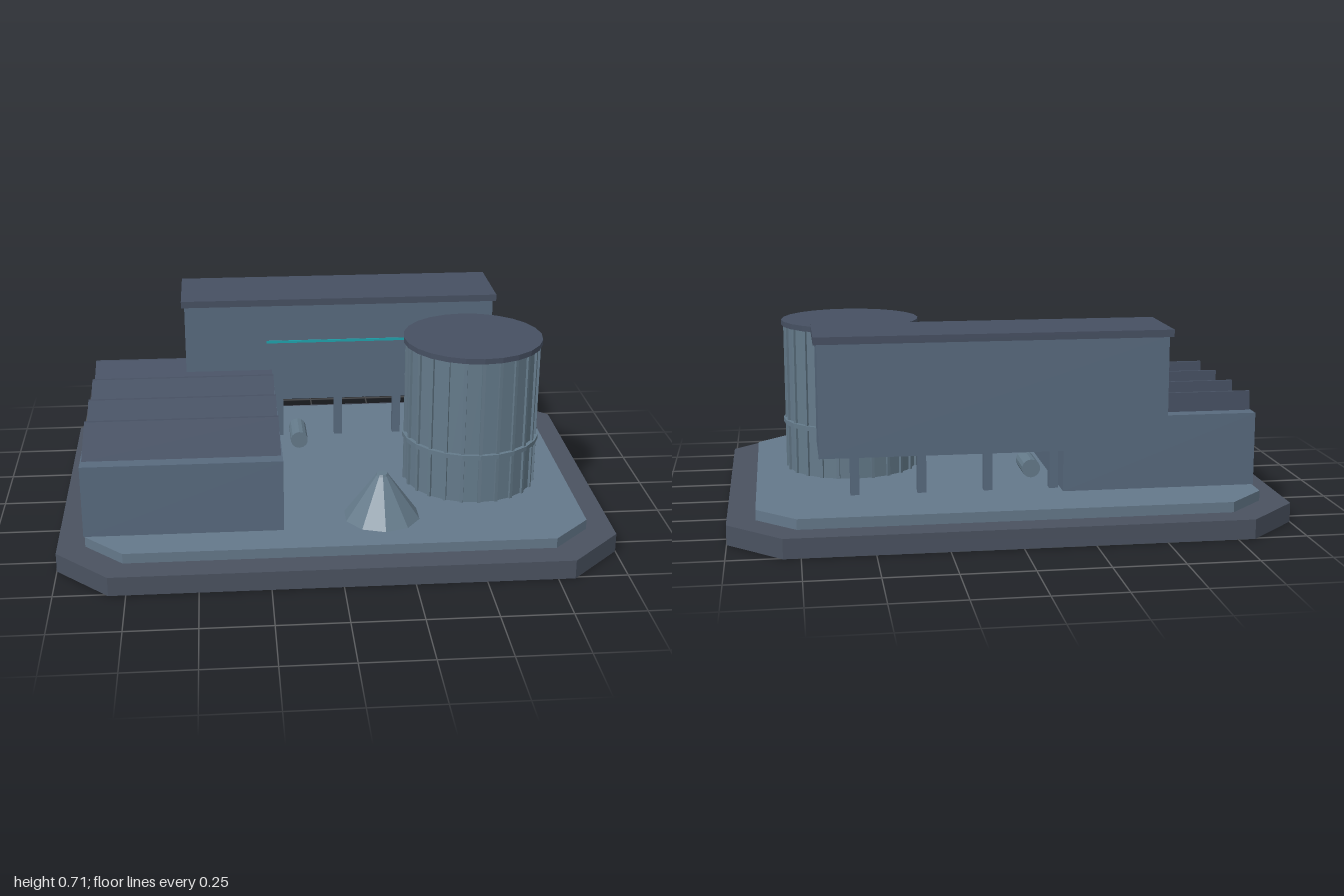
import * as THREE from 'three';

const mat = (color) => new THREE.MeshStandardMaterial({ color, flatShading: true });
const DARK = mat(0x4a5260), PAVING = mat(0x64788a), WALL = mat(0x586a7e);
const ROOF = mat(0x465062), STEEL = mat(0x647a8a), GLOW = mat(0x1fa3ad);

function add(parent, name, geometry, material, x = 0, y = 0, z = 0) {
  const mesh = new THREE.Mesh(geometry, material);
  mesh.name = name;
  mesh.position.set(x, y, z);
  parent.add(mesh);
  return mesh;
}

// Box given by its lower and upper limits on each axis
function box(parent, name, material, [x0, x1], [y0, y1], [z0, z1]) {
  return add(parent, name, new THREE.BoxGeometry(x1 - x0, y1 - y0, z1 - z0), material,
    (x0 + x1) / 2, (y0 + y1) / 2, (z0 + z1) / 2);
}

// Rectangular plate with cut corners, lying flat
function plate(parent, name, material, w, d, cut, y0, y1) {
  const pts = [[w - cut, -d], [w, cut - d], [w, d - cut], [w - cut, d],
    [cut - w, d], [-w, d - cut], [-w, cut - d], [cut - w, -d]];
  const shape = new THREE.Shape(pts.map(([x, y]) => new THREE.Vector2(x, y)));
  const geo = new THREE.ExtrudeGeometry(shape, { depth: y1 - y0, bevelEnabled: false });
  add(parent, name, geo.rotateX(-Math.PI / 2), material, 0, y0, 0);
}

function group(parent, name) {
  const g = new THREE.Group();
  g.name = name;
  parent.add(g);
  return g;
}

export function createModel() {
  const model = new THREE.Group();
  model.name = 'factory';
  const floor = 0.107;

  // Ground: dark foundation and raised yard
  plate(model, 'foundation', DARK, 1, 0.76, 0.19, 0, 0.07);
  plate(model, 'yard', PAVING, 0.9, 0.66, 0.138, 0.07, floor);

  // Workshop hall with sawtooth roof
  const hall = group(model, 'workshopHall');
  box(hall, 'hallWalls', WALL, [-0.905, -0.195], [floor, 0.375], [-0.43, 0.52]);
  const tooth = new THREE.Shape([[0, 0], [0.205, 0], [0.202, 0.07], [0.19, 0.07]]
    .map(([x, y]) => new THREE.Vector2(x, y)));
  const toothGeo = new THREE.ExtrudeGeometry(tooth, { depth: 0.7, bevelEnabled: false })
    .rotateY(Math.PI / 2);
  for (let i = 0; i < 4; i++) {
    add(hall, 'sawtoothRoof', toothGeo, ROOF, -0.9, 0.375, 0.47 - i * 0.213);
  }

  // Raised long block on a row of columns
  const block = group(model, 'raisedBlock');
  box(block, 'blockWalls', WALL, [-0.54, 0.68], [0.29, 0.686], [-0.57, -0.284]);
  box(block, 'blockRoof', ROOF, [-0.552, 0.692], [0.686, 0.712], [-0.587, -0.275]);
  box(block, 'lightStrip', GLOW, [-0.22, 0.36], [0.53, 0.54], [-0.29, -0.28]);
  for (const x of [-0.17, 0.07, 0.31, 0.55]) {
    box(block, 'column', WALL, [x - 0.016, x + 0.016], [floor, 0.3], [-0.378, -0.343]);
  }

  // Short pipe under the block
  add(model, 'pipe', new THREE.CylinderGeometry(0.034, 0.034, 0.144, 14).rotateX(Math.PI / 2),
    STEEL, -0.1, 0.163, -0.229);

  // Storage tank with hoops and vertical ribs
  const tank = group(model, 'storageTank');
  tank.position.set(0.535, 0, 0.104);
  const drum = (name, r, y0, y1, m) =>
    add(tank, name, new THREE.CylinderGeometry(r, r, y1 - y0, 24), m, 0, (y0 + y1) / 2, 0);
  drum('tankShell', 0.244, floor, 0.66, STEEL);
  drum('middleHoop', 0.259, 0.283, 0.3, STEEL);
  drum('tankLid', 0.259, 0.657, 0.677, ROOF);
  const ribGeo = new THREE.BoxGeometry(0.012, 0.66 - floor, 0.016);
  for (let i = 0; i < 24; i++) {
    const a = i * Math.PI / 12;
    add(tank, 'rib', ribGeo, STEEL, 0.244 * Math.sin(a), (0.66 + floor) / 2, 0.244 * Math.cos(a))
      .rotation.y = a;
  }

  // Heap with a small tip
  add(model, 'heap', new THREE.CylinderGeometry(0.024, 0.14, 0.16, 10), STEEL, 0.165, floor + 0.08, 0.425);
  add(model, 'heapTip', new THREE.CylinderGeometry(0.02, 0.024, 0.008, 10), STEEL, 0.165, 0.271, 0.425);

  return model;
}
